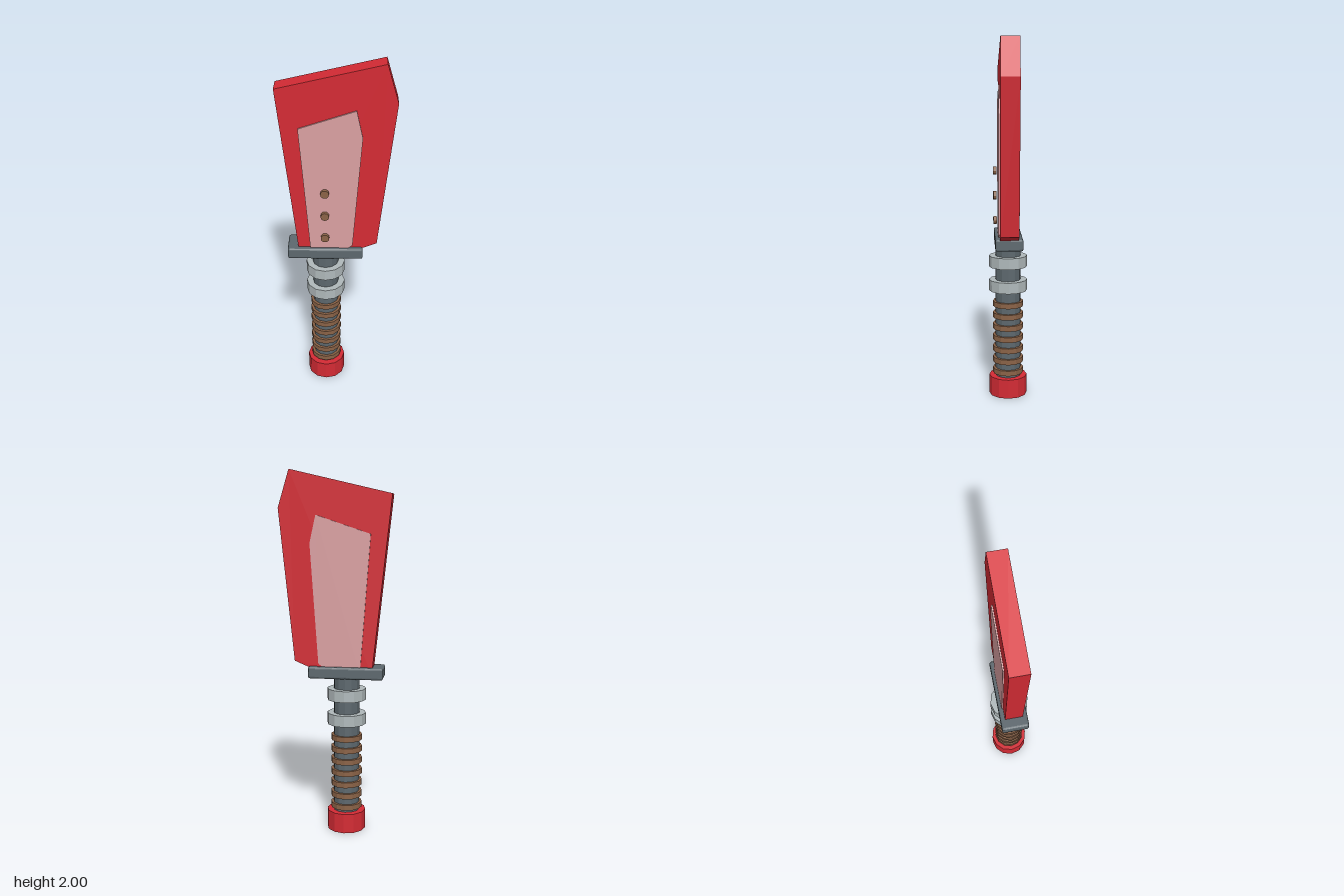
import * as THREE from 'three';
import { RoundedBoxGeometry } from 'three/addons/geometries/RoundedBoxGeometry.js';

const AXIS = -0.063; // the grip stands off-centre below the blade

const mat = (color) => new THREE.MeshStandardMaterial({ color, flatShading: true });

export function createModel() {
  const model = new THREE.Group();
  const red = mat(0xd42b34);
  const pink = mat(0xdaa0a2);
  const steel = mat(0x5d686e);
  const silver = mat(0xb0b9bb);
  const brown = mat(0x8b6347);

  const add = (name, geometry, material, x, y, z = 0) => {
    const mesh = new THREE.Mesh(geometry, material);
    mesh.name = name;
    mesh.position.set(x, y, z);
    model.add(mesh);
    return mesh;
  };

  // Upright twelve-sided disc on the grip axis, from y0 to y1
  const disc = (name, radius, y0, y1, material) =>
    add(name, new THREE.CylinderGeometry(radius, radius, y1 - y0, 12), material, AXIS, (y0 + y1) / 2);

  // Flat plate from an outline, centred on z = 0
  const plate = (name, outline, thickness, material) => {
    const shape = new THREE.Shape(outline.map(([x, y]) => new THREE.Vector2(x, y)));
    const geometry = new THREE.ExtrudeGeometry(shape, { depth: thickness, bevelEnabled: false });
    add(name, geometry, material, 0, 0, -thickness / 2);
  };

  // Blade and its pale inlay, which stands proud on both faces
  plate('blade', [
    [-0.207, 0.9], [0.06, 0.9], [0.22, 0.967], [0.306, 1.797], [0.245, 2.0], [-0.31, 1.87],
  ], 0.1, red);
  plate('bladeInlay', [
    [-0.142, 0.9], [0.04, 0.92], [0.087, 0.955], [0.133, 1.61], [0.1, 1.76], [-0.197, 1.66],
  ], 0.115, pink);

  // Rivets on the front face
  for (const y of [1.015, 1.154, 1.293]) {
    const rivet = add('rivet', new THREE.CylinderGeometry(0.023, 0.023, 0.019, 12), brown, AXIS, y, 0.073);
    rivet.rotation.x = Math.PI / 2;
  }

  // Guard
  add('guard', new RoundedBoxGeometry(0.414, 0.066, 0.152, 2, 0.012), steel, AXIS, 0.906);

  // Grip with collars, wrap rings and pommel
  disc('grip', 0.072, 0.05, 0.9, steel);
  disc('lowerCollar', 0.108, 0.612, 0.675, silver);
  disc('upperCollar', 0.108, 0.75, 0.813, silver);
  for (let i = 0; i < 7; i++) {
    const y = 0.14 + i * 0.0658;
    disc('gripWrap', 0.087, y - 0.015, y + 0.015, brown);
  }
  disc('pommel', 0.108, 0, 0.11, red);

  return model;
}
